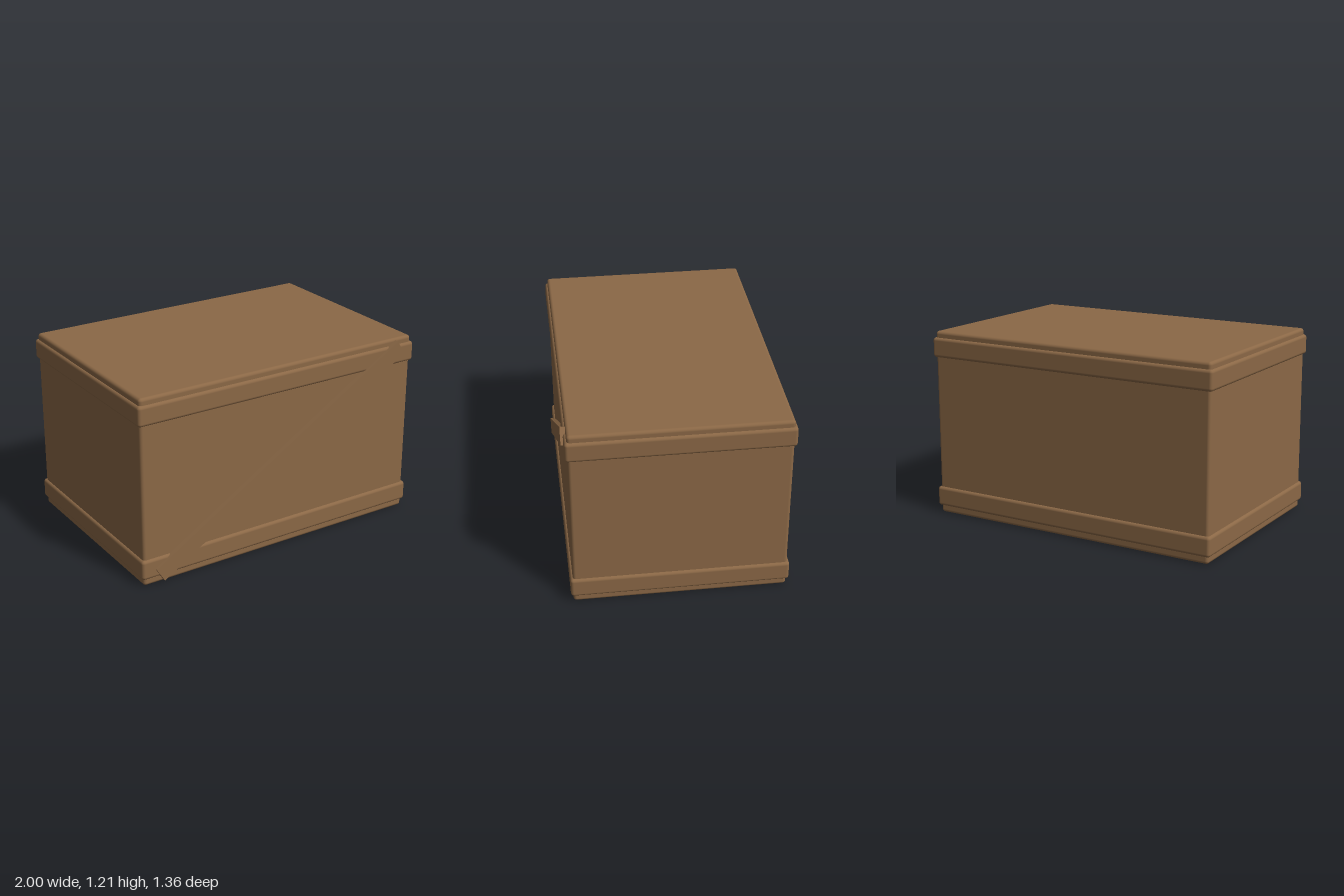
import * as THREE from 'three';
import { RoundedBoxGeometry } from 'three/addons/geometries/RoundedBoxGeometry.js';

export function createModel() {
  const crate = new THREE.Group();
  crate.name = 'crate';
  const wood = new THREE.MeshStandardMaterial({ color: 0x8b6846 });
  wood.name = 'brown wood';

  const add = (name, geometry, x, y, z) => {
    const mesh = new THREE.Mesh(geometry, wood);
    mesh.name = name;
    mesh.position.set(x, y, z);
    crate.add(mesh);
    return mesh;
  };

  // Main box with softened edges
  const midZ = -0.008;
  add('body', new RoundedBoxGeometry(1.97, 1.205, 1.315, 3, 0.02), 0, 0.6025, midZ);

  // Bands wrapped around the bottom and top
  for (const [name, y] of [['lowerBand', 0.111], ['upperBand', 1.1]]) {
    add(name, new RoundedBoxGeometry(2, 0.128, 1.345, 3, 0.02), 0, y, midZ);
  }

  // Diagonal brace across the front
  const brace = add('diagonalBrace', new THREE.BoxGeometry(2.08, 0.104, 0.032), 0, 0.606, 0.664);
  brace.rotation.z = Math.atan2(1.085, 1.77);

  return crate;
}
